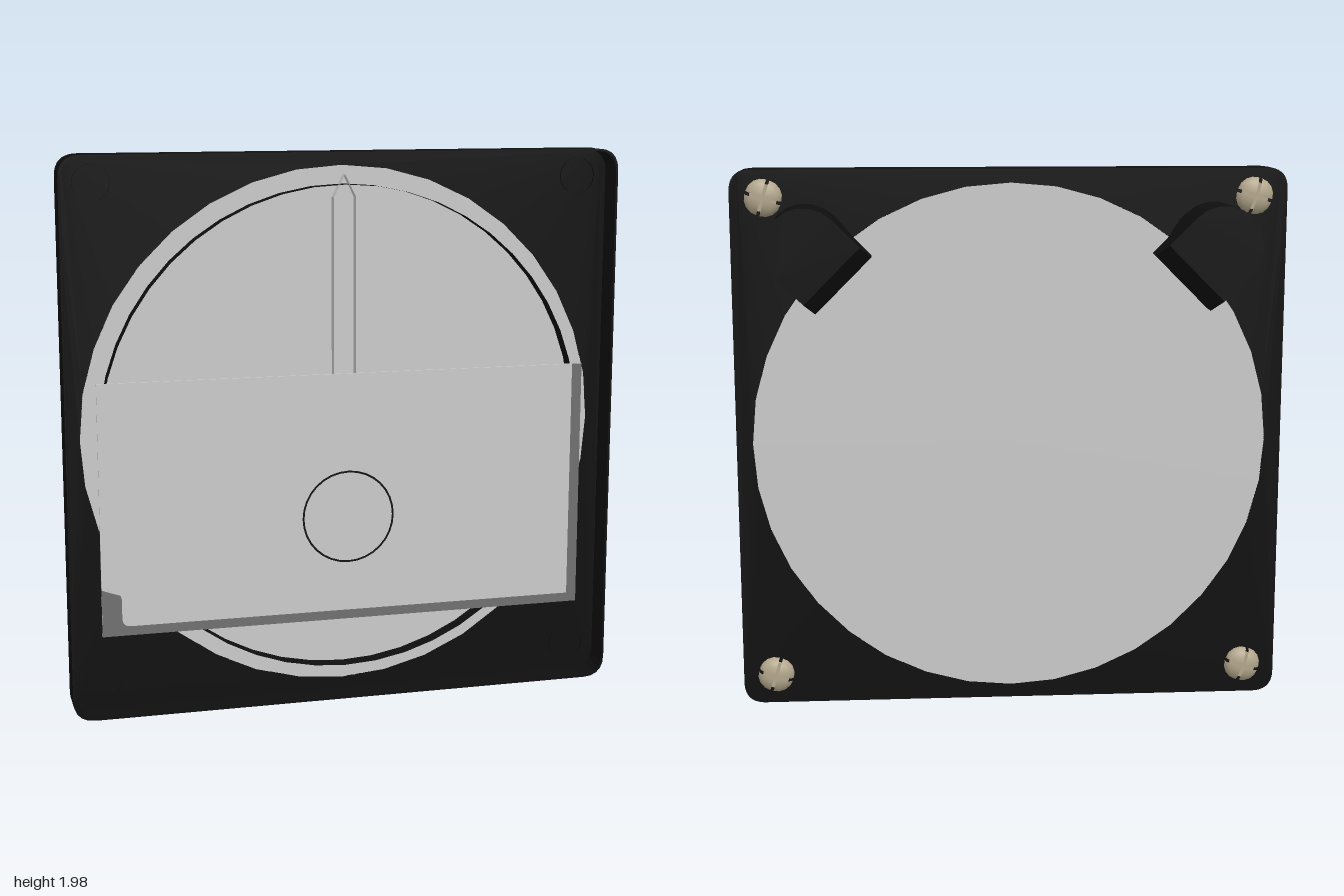
import * as THREE from 'three';

const mat = (name, color) => {
  const m = new THREE.MeshStandardMaterial({ color, side: THREE.DoubleSide });
  m.name = name;
  return m;
};

const BACK = 0.055, FLOOR = 0.07, FRONT = 0.168, CY = 0.99;

// Rounded rectangle path, centred on x = 0, y = CY
function roundedRect(target, hw, hh, r) {
  target.moveTo(-hw + r, CY - hh);
  target.lineTo(hw - r, CY - hh);
  target.quadraticCurveTo(hw, CY - hh, hw, CY - hh + r);
  target.lineTo(hw, CY + hh - r);
  target.quadraticCurveTo(hw, CY + hh, hw - r, CY + hh);
  target.lineTo(-hw + r, CY + hh);
  target.quadraticCurveTo(-hw, CY + hh, -hw, CY + hh - r);
  target.lineTo(-hw, CY - hh + r);
  target.quadraticCurveTo(-hw, CY - hh, -hw + r, CY - hh);
  return target;
}

const extrude = (shape, depth, z) =>
  new THREE.ExtrudeGeometry(shape, { depth, bevelEnabled: false, curveSegments: 5 }).translate(0, 0, z);

// Open cylinder wall along z
const hoop = (r, z0, z1, sides) =>
  new THREE.CylinderGeometry(r, r, z1 - z0, sides, 1, true).rotateX(Math.PI / 2).translate(0, 0, (z0 + z1) / 2);

// Hooked clip: D-shaped sections stacked along z, flat end pointing along +x
function clipGeometry() {
  const r = 0.14, arc = 10;
  const levels = [[BACK, 0.035], [-0.033, 0.115], [-0.038, 0.19], [-0.12, 0.19], [-0.172, 0.135]];
  const n = arc + 3, pos = [], idx = [];
  for (const [z, s] of levels) {
    for (let i = 0; i <= arc; i++) {
      const a = Math.PI / 2 + (Math.PI * i) / arc;
      pos.push(r * Math.cos(a), r * Math.sin(a), z);
    }
    pos.push(s, -r, z, s, r, z);
  }
  for (let k = 0; k < levels.length - 1; k++)
    for (let i = 0; i < n; i++) {
      const a = k * n + i, b = k * n + ((i + 1) % n);
      idx.push(a, a + n, b, b, a + n, b + n);
    }
  const last = (levels.length - 1) * n;
  for (let i = 1; i < n - 1; i++) idx.push(last, last + i + 1, last + i);
  const g = new THREE.BufferGeometry();
  g.setAttribute('position', new THREE.Float32BufferAttribute(pos, 3));
  g.setIndex(idx);
  const flat = g.toNonIndexed();
  flat.computeVertexNormals();
  return flat;
}

export function createModel() {
  const black = mat('black plastic', 0x0e0e0e);
  const light = mat('light grey', 0xcacaca);
  const dark = mat('dark grey', 0x707070);
  const brass = mat('screw metal', 0xb3a78c);

  const model = new THREE.Group();
  const add = (name, geo, material, parent = model) => {
    const m = new THREE.Mesh(geo, material);
    m.name = name;
    parent.add(m);
    return m;
  };

  // Shallow square tray with a thin rim
  const base = roundedRect(new THREE.Shape(), 1, CY, 0.08);
  base.holes.push(new THREE.Path().absarc(0, CY, 0.94, 0, Math.PI * 2, true));
  const baseGeo = new THREE.ExtrudeGeometry(base, { depth: FLOOR - BACK, bevelEnabled: false, curveSegments: 18 });
  add('frameFloor', baseGeo.translate(0, 0, BACK), black);
  const rim = roundedRect(new THREE.Shape(), 1, CY, 0.08);
  rim.holes.push(roundedRect(new THREE.Path(), 0.992, CY - 0.008, 0.076));
  add('frameRim', extrude(rim, FRONT - BACK, BACK), black);

  // Dial disc, visible from both sides, with a raised hoop
  add('dialDisc', new THREE.CylinderGeometry(0.941, 0.941, FLOOR - BACK, 36)
    .rotateX(Math.PI / 2).translate(0, CY, (FLOOR + BACK) / 2), light);
  add('dialHoop', hoop(0.875, FLOOR, 0.13, 48).translate(0, CY, 0), black);

  // Needle: thin upright walls around a pointed outline
  const outline = [[-0.04, 0.85], [-0.04, 1.82], [0, 1.9], [0.04, 1.82], [0.04, 0.85]];
  const needle = new THREE.Group();
  needle.name = 'needle';
  model.add(needle);
  for (let i = 0; i < outline.length - 1; i++) {
    const [x0, y0] = outline[i], [x1, y1] = outline[i + 1];
    const wall = new THREE.PlaneGeometry(Math.hypot(x1 - x0, y1 - y0), 0.033)
      .rotateX(Math.PI / 2).rotateZ(Math.atan2(y1 - y0, x1 - x0))
      .translate((x0 + x1) / 2, (y0 + y1) / 2, 0.1);
    add('needleWall', wall, light, needle);
  }

  // Cover plate with shaded edge strip and pivot ring
  add('coverPlate', new THREE.BoxGeometry(1.77, 0.9, 0.006).translate(-0.005, 0.755, 0.162), light);
  const strip = new THREE.Shape();
  strip.moveTo(-0.89, 0.305);
  strip.lineTo(0.88, 0.305);
  strip.lineTo(0.88, 1.205);
  strip.lineTo(0.843, 1.205);
  strip.lineTo(0.843, 0.338);
  strip.lineTo(-0.79, 0.338);
  strip.quadraticCurveTo(-0.82, 0.338, -0.82, 0.37);
  strip.lineTo(-0.82, 0.435);
  strip.quadraticCurveTo(-0.82, 0.455, -0.84, 0.457);
  strip.lineTo(-0.89, 0.475);
  add('coverEdgeStrip', new THREE.ShapeGeometry(strip, 5).translate(0, 0, 0.167), dark);
  add('pivotRing', new THREE.RingGeometry(0.162, 0.169, 32).translate(0, 0.685, 0.1675), black);

  // Corner screws: cross-slotted domes behind, shallow sockets in front
  for (const x of [-0.88, 0.88])
    for (const y of [0.11, 1.88]) {
      const screw = new THREE.Group();
      screw.name = 'screw';
      screw.position.set(x, y, BACK);
      for (let q = 0; q < 4; q++) {
        const a = (q * Math.PI) / 2;
        const g = new THREE.SphereGeometry(0.06, 4, 4, a, Math.PI / 2, 0, Math.PI / 2)
          .rotateX(-Math.PI / 2).scale(1, 1, 0.62);
        g.computeBoundingBox();
        const c = g.boundingBox.getCenter(new THREE.Vector3());
        g.translate(Math.sign(c.x) * 0.006, Math.sign(c.y) * 0.006, 0);
        add('screwHeadQuarter', g, brass, screw).rotation.z = 0.3;
      }
      add('screwCore', new THREE.CylinderGeometry(0.05, 0.05, 0.012, 16)
        .rotateX(Math.PI / 2).translate(0, 0, -0.004), brass, screw);
      add('screwSocket', hoop(0.065, FLOOR - BACK, FLOOR - BACK + 0.008, 16), black, screw);
      model.add(screw);
    }

  // Two hooked clips on the back, aimed at the dial centre
  for (const side of [-1, 1]) {
    const clip = add(side > 0 ? 'leftClip' : 'rightClip', clipGeometry(), black);
    clip.position.set(side * 0.733, 1.72, 0);
    clip.rotation.z = side > 0 ? (-3 * Math.PI) / 4 : -Math.PI / 4;
  }

  return model;
}
